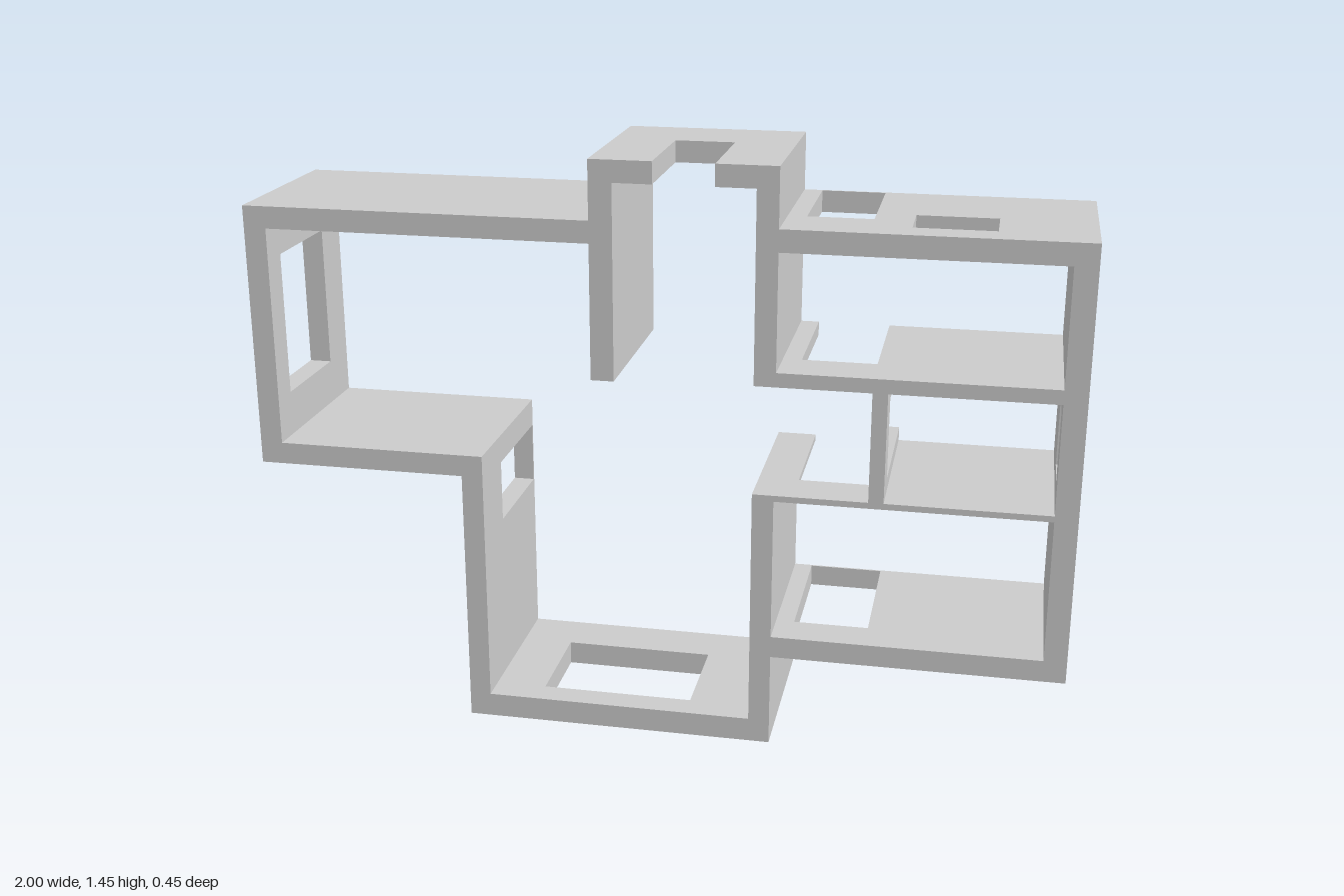
import * as THREE from 'three';

const D = 0.227; // half depth of the whole shelf unit
const material = new THREE.MeshStandardMaterial({ color: 0xcccccc });

// corners of a rectangle
const rect = (a0, a1, b0, b1) => [[a0, b0], [a1, b0], [a1, b1], [a0, b1]];

// flat extruded board; points are [s, t], holes are counterclockwise point loops
function board(name, outline, holes, thickness) {
  const toVec = (pts) => pts.map(([s, t]) => new THREE.Vector2(s, t));
  const shape = new THREE.Shape(toVec(outline));
  for (const h of holes) shape.holes.push(new THREE.Path(toVec(h)));
  const geometry = new THREE.ExtrudeGeometry(shape, { depth: thickness, bevelEnabled: false });
  const mesh = new THREE.Mesh(geometry, material);
  mesh.name = name;
  return mesh;
}

// horizontal board: outline and holes in [x, z], between heights y0 and y1
function slab(name, outline, y0, y1, holes = []) {
  const flip = (pts) => pts.map(([x, z]) => [x, -z]).reverse();
  const mesh = board(name, flip(outline), holes.map(flip), y1 - y0);
  mesh.geometry.rotateX(-Math.PI / 2).translate(0, y0, 0);
  return mesh;
}

// upright board: outline and holes in [z, y], between x0 and x1
function wall(name, outline, x0, x1, holes = []) {
  const flip = (pts) => pts.map(([z, y]) => [-z, y]).reverse();
  const mesh = board(name, flip(outline), holes.map(flip), x1 - x0);
  mesh.geometry.rotateY(Math.PI / 2).translate(x0, 0, 0);
  return mesh;
}

// rectangle with a notch (n0..n1 in x) cut from one z edge to the depth zn
function notched(x0, x1, n0, n1, edge, zn) {
  return [[x0, -edge], [x0, edge], [n0, edge], [n0, zn], [n1, zn], [n1, edge], [x1, edge], [x1, -edge]];
}

export function createModel() {
  const group = new THREE.Group();
  group.name = 'houseShelf';

  // wide room at the -x side
  group.add(
    wall('sideRoomWall', rect(-D, D, 0.652, 1.304), -1, -0.945, [rect(-0.112, 0.153, 0.816, 1.17)]),
    slab('sideRoomRoof', rect(-0.945, -0.15, -D, D), 1.25, 1.304),
    slab('sideRoomFloor', rect(-0.945, -0.427, -D, D), 0.652, 0.706),
  );

  // lower room
  group.add(
    wall('lowerRoomOuterWall', rect(-D, D, 0.06, 0.652), -0.48, -0.427, [rect(-0.222, 0.07, 0.48, 0.635)]),
    slab('lowerRoomFloor', rect(-0.48, 0.292, -D, D), 0, 0.06, [rect(-0.3, 0.08, -0.1, 0.16)]),
    wall('lowerRoomInnerWall', rect(-D, D, 0.06, 0.645), 0.24, 0.292),
  );

  // raised centre with a notch in its roof
  group.add(
    wall('centreHangingWall', rect(-D, D, 0.92, 1.394), -0.15, -0.094),
    wall('centreTowerWall', rect(-D, D, 0.965, 1.394), 0.24, 0.292),
    slab('centreRoof', notched(-0.15, 0.292, 0, 0.145, D, -0.047), 1.394, 1.447),
  );

  // tower at the +x side
  group.add(
    wall('towerWall', rect(-D, D, 0.236, 1.304), 0.945, 1, [rect(0.002, 0.132, 0.705, 0.88)]),
    slab('towerRoof', rect(0.292, 0.945, -D, D), 1.25, 1.304,
      [rect(0.337, 0.493, -0.222, 0.08), rect(0.585, 0.777, 0.018, 0.15)]),
    slab('towerFloor', rect(0.292, 0.945, -D, D), 0.236, 0.29, [rect(0.337, 0.52, -0.222, 0.13)]),
  );

  // two thin shelves, cut open at the back
  for (const [name, y0, y1] of [['upperShelf', 0.93, 0.965], ['lowerShelf', 0.645, 0.66]]) {
    group.add(slab(name, notched(0.24, 0.945, 0.337, 0.516, -D, 0.11), y0, y1));
  }

  // divider between the shelves: front post with a top and bottom rail
  group.add(wall('divider', [
    [-D, 0.66], [D, 0.66], [D, 0.93], [-D, 0.93],
    [-D, 0.895], [0.15, 0.895], [0.15, 0.695], [-D, 0.695],
  ], 0.516, 0.552));

  return group;
}
